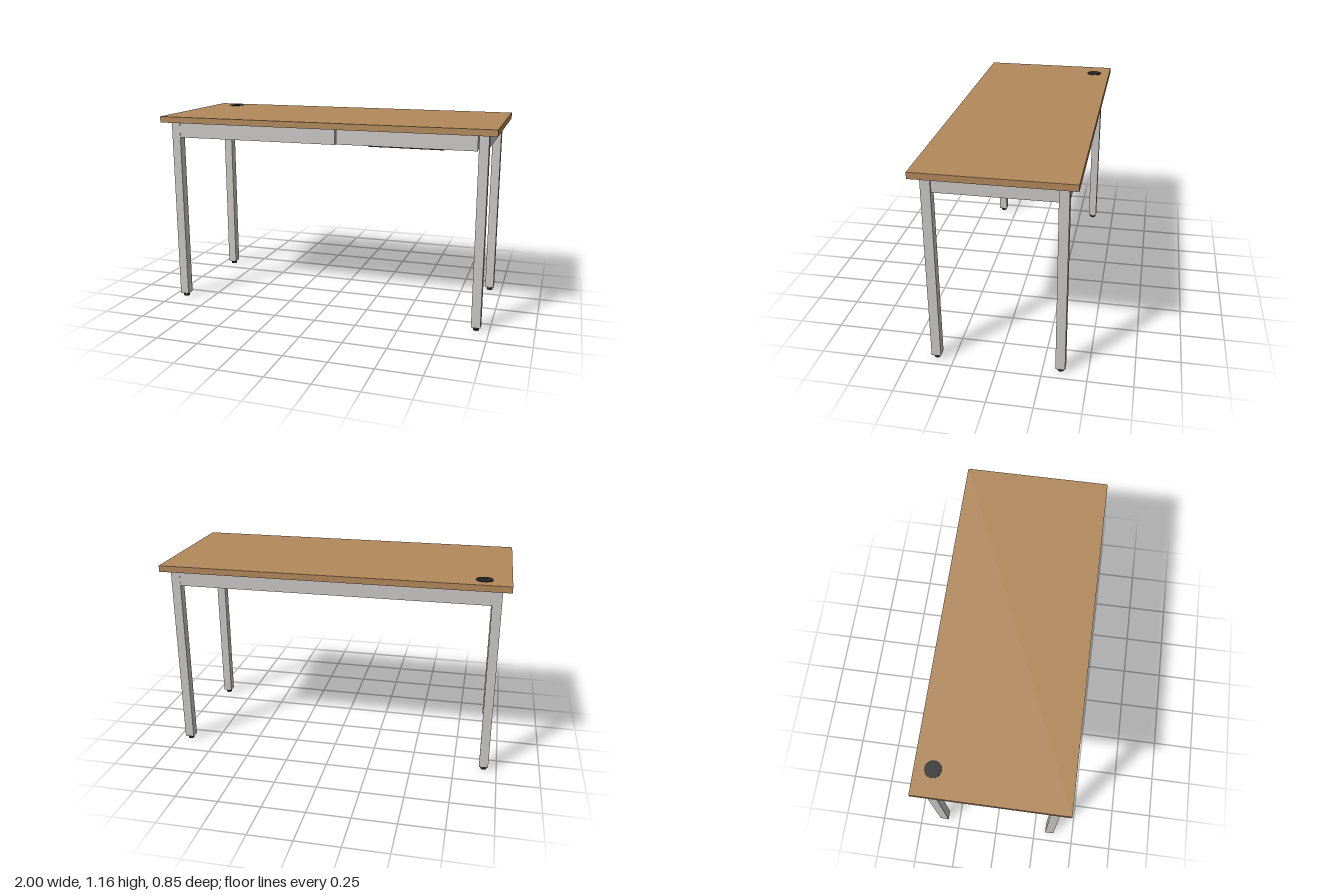
import * as THREE from 'three';

const wood = new THREE.MeshStandardMaterial({ color: 0xb3895c });
wood.name = 'wood';
const metal = new THREE.MeshStandardMaterial({ color: 0xcbc9c7 });
metal.name = 'light grey metal';
const black = new THREE.MeshStandardMaterial({ color: 0x222224 });
black.name = 'black plastic';

export function createModel() {
  const desk = new THREE.Group();
  desk.name = 'desk';

  const add = (name, geometry, material, x, y, z) => {
    const mesh = new THREE.Mesh(geometry, material);
    mesh.name = name;
    mesh.position.set(x, y, z);
    desk.add(mesh);
    return mesh;
  };
  // Box given by its low and high limits on each axis
  const box = (name, material, [x0, x1], [y0, y1], [z0, z1]) =>
    add(name, new THREE.BoxGeometry(x1 - x0, y1 - y0, z1 - z0), material,
      (x0 + x1) / 2, (y0 + y1) / 2, (z0 + z1) / 2);

  // Worktop with cable grommet at the back right corner
  box('worktop', wood, [-1, 1], [1.12, 1.156], [-0.425, 0.425]);
  add('cableGrommet', new THREE.CylinderGeometry(0.047, 0.047, 0.004, 32), black, -0.85, 1.1565, -0.322);

  // Square legs with round levelling feet
  for (const sx of [-1, 1]) {
    for (const sz of [-1, 1]) {
      const end = (sx > 0 ? 'left' : 'right') + (sz > 0 ? 'Front' : 'Back');
      add(end + 'Leg', new THREE.BoxGeometry(0.053, 1.1, 0.053), metal, sx * 0.925, 0.57, sz * 0.349);
      add(end + 'Foot', new THREE.CylinderGeometry(0.018, 0.018, 0.02, 16), black, sx * 0.925, 0.01, sz * 0.349);
    }
    // End rail between the front and back legs
    const inner = sx * 0.91, outer = sx * 0.94;
    box(sx > 0 ? 'leftRail' : 'rightRail', metal,
      [Math.min(inner, outer), Math.max(inner, outer)], [1.027, 1.12], [-0.322, 0.322]);
  }

  // Long rails: full at the back, stopping at the drawer in front
  box('backRail', metal, [-0.899, 0.899], [1.027, 1.12], [-0.374, -0.344]);
  box('frontRail', metal, [-0.899, 0.086], [1.027, 1.12], [0.344, 0.374]);

  // Drawer: front panel, tray and finger pull under the front edge
  box('drawerFront', metal, [0.094, 0.892], [1.03, 1.117], [0.352, 0.374]);
  box('drawerTray', metal, [0.094, 0.892], [1.035, 1.11], [-0.34, 0.352]);
  box('drawerPull', black, [0.28, 0.71], [1.025, 1.033], [0.335, 0.366]);

  return desk;
}
